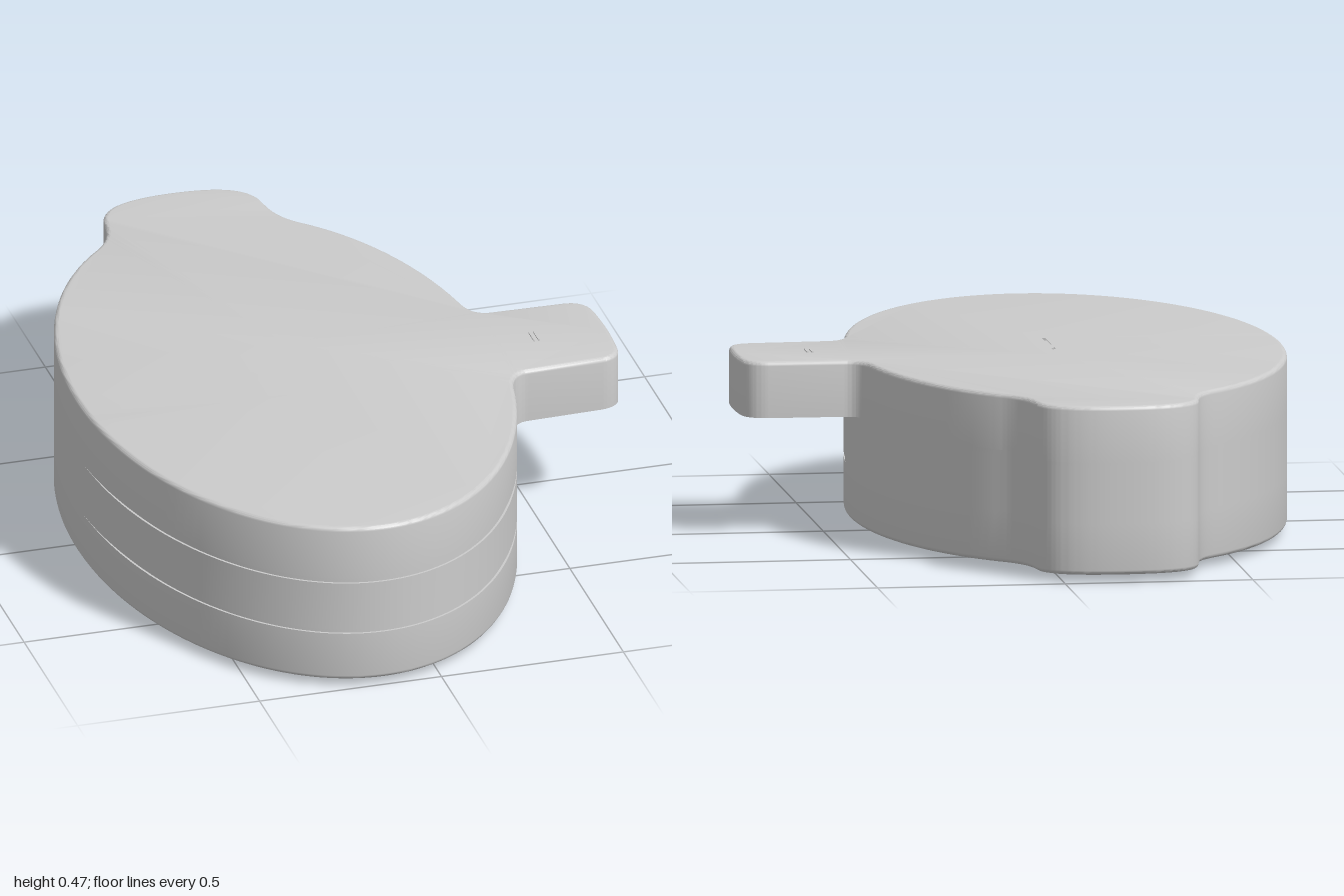
import * as THREE from 'three';
import { toCreasedNormals } from 'three/addons/utils/BufferGeometryUtils.js';

const CX = -0.155, CS = -0.07, RX = 0.575, RS = 0.93; // main oval, s = -z
const material = new THREE.MeshStandardMaterial({ color: 0xcccccc, side: THREE.DoubleSide });

// Plan outline, counter-clockwise in (x, s); the tab is optional
function outline(withTab) {
  const p = new THREE.Shape();
  const arc = (a, b) => p.absellipse(CX, CS, RX, RS, a, b, false, 0);
  if (withTab) {
    arc(-Math.PI / 2, -0.27);
    p.quadraticCurveTo(0.415, -0.25, 0.46, -0.25);
    p.lineTo(0.66, -0.243);
    p.quadraticCurveTo(0.72, -0.24, 0.725, -0.18);
    p.quadraticCurveTo(0.735, -0.07, 0.725, 0.03);
    p.quadraticCurveTo(0.72, 0.095, 0.66, 0.1);
    p.lineTo(0.46, 0.105);
    p.quadraticCurveTo(0.415, 0.105, CX + RX * Math.cos(0.26), CS + RS * Math.sin(0.26));
    arc(0.26, 1.06);
  } else {
    arc(-Math.PI / 2, 1.06);
  }
  // Rounded lobe at the back
  p.bezierCurveTo(0.07, 0.8, 0.07, 0.84, 0.06, 0.9);
  p.bezierCurveTo(0.04, 0.98, -0.05, 1, CX, 1);
  p.bezierCurveTo(2 * CX + 0.05, 1, 2 * CX - 0.04, 0.98, 2 * CX - 0.06, 0.9);
  p.bezierCurveTo(2 * CX - 0.07, 0.84, 2 * CX - 0.07, 0.8, CX - RX * Math.cos(1.06), CS + RS * Math.sin(1.06));
  arc(Math.PI - 1.06, Math.PI * 1.5);
  return p.getPoints(32).filter((v, i, all) => v.distanceTo(all[(i + 1) % all.length]) > 1e-4);
}

// Move the outline inwards by inset(point)
function shrink(pts, inset) {
  const n = pts.length;
  return pts.map((p, i) => {
    const t = pts[(i + 1) % n].clone().sub(pts[(i + n - 1) % n]).normalize();
    const d = inset(p);
    return new THREE.Vector2(p.x - t.y * d, p.y + t.x * d);
  });
}

// Walls through rows of [y, inset, groove depth], with optional flat caps
function loft(pts, rows, capBottom, capTop, holes = []) {
  const pos = [];
  const put = (v, y) => pos.push(v.x, y, -v.y);
  const rings = rows.map(([, inset, groove = 0]) =>
    shrink(pts, (p) => inset + groove * THREE.MathUtils.smoothstep(-p.y, 0.1, 0.45)));
  for (let r = 0; r + 1 < rows.length; r++) {
    const a = rings[r], b = rings[r + 1], ya = rows[r][0], yb = rows[r + 1][0];
    for (let i = 0; i < a.length; i++) {
      const j = (i + 1) % a.length;
      put(a[i], ya); put(a[j], ya); put(b[j], yb);
      put(a[i], ya); put(b[j], yb); put(b[i], yb);
    }
  }
  const cap = (ring, y, up, cuts) => {
    const all = [...ring, ...cuts.flat()];
    for (const [a, b, c] of THREE.ShapeUtils.triangulateShape(ring, cuts)) {
      for (const k of up ? [a, b, c] : [a, c, b]) put(all[k], y);
    }
  };
  if (capBottom) cap(rings[0], rows[0][0], false, []);
  if (capTop) cap(rings.at(-1), rows.at(-1)[0], true, holes);
  const g = new THREE.BufferGeometry();
  g.setAttribute('position', new THREE.Float32BufferAttribute(pos, 3));
  return toCreasedNormals(g, 0.5);
}

export function createModel() {
  const group = new THREE.Group();
  const add = (name, geometry, x = 0, y = 0, z = 0) => {
    const m = new THREE.Mesh(geometry, material);
    m.name = name;
    m.position.set(x, y, z);
    group.add(m);
    return m;
  };

  // Rounded edge rows, from the wall (k = 0) to the cap (k = 4)
  const R = 0.012;
  const edge = (y, dir) => [0, 1, 2, 3, 4].map((k) => {
    const a = (k * Math.PI) / 8;
    return [y - dir * R * (1 - Math.sin(a)), R * (1 - Math.cos(a))];
  });
  const groove = (y0, y1) => [[y0, 0], [y0, 0, 0.006], [y1, 0, 0.006], [y1, 0]];

  // Lower body with two grooves around the front
  add('lowerBody', loft(outline(false),
    [...edge(0.02, -1).reverse(), ...groove(0.157, 0.169), ...groove(0.306, 0.32)], true, false));

  // Upper body with the side tab and two narrow slots in the top
  const slots = [[-0.21, -0.09], [-0.05, 0.08]].map(([s0, s1]) => [
    new THREE.Vector2(-0.122, s0), new THREE.Vector2(-0.122, s1),
    new THREE.Vector2(-0.112, s1), new THREE.Vector2(-0.112, s0)]);
  add('upperBodyWithTab', loft(outline(true), [[0.32, 0], ...edge(0.47, 1)], true, true, slots));

  // Slot floors
  for (const [z0, z1] of [[0.09, 0.21], [-0.08, 0.05]]) {
    add('slotFloor', new THREE.BoxGeometry(0.02, 0.01, z1 - z0 + 0.01), -0.117, 0.457, (z0 + z1) / 2);
  }

  // Fine ridges on both faces of the tab
  for (const y of [0.47, 0.32]) {
    for (const x of [0.522, 0.535]) add('tabRidge', new THREE.BoxGeometry(0.004, 0.006, 0.05), x, y, 0.07);
  }

  // Small tilted nub under the body
  const nub = new THREE.CylinderGeometry(0.058, 0.045, 0.02, 32);
  const p = nub.attributes.position;
  for (let i = 0; i < p.count; i++) {
    if (p.getY(i) < 0) p.setY(i, -0.01 + Math.max(0, p.getX(i)) * 0.15);
    p.setZ(i, p.getZ(i) * 0.9);
  }
  add('bottomNub', toCreasedNormals(nub, 0.5), 0.005, 0.01, -0.07);

  return group;
}
